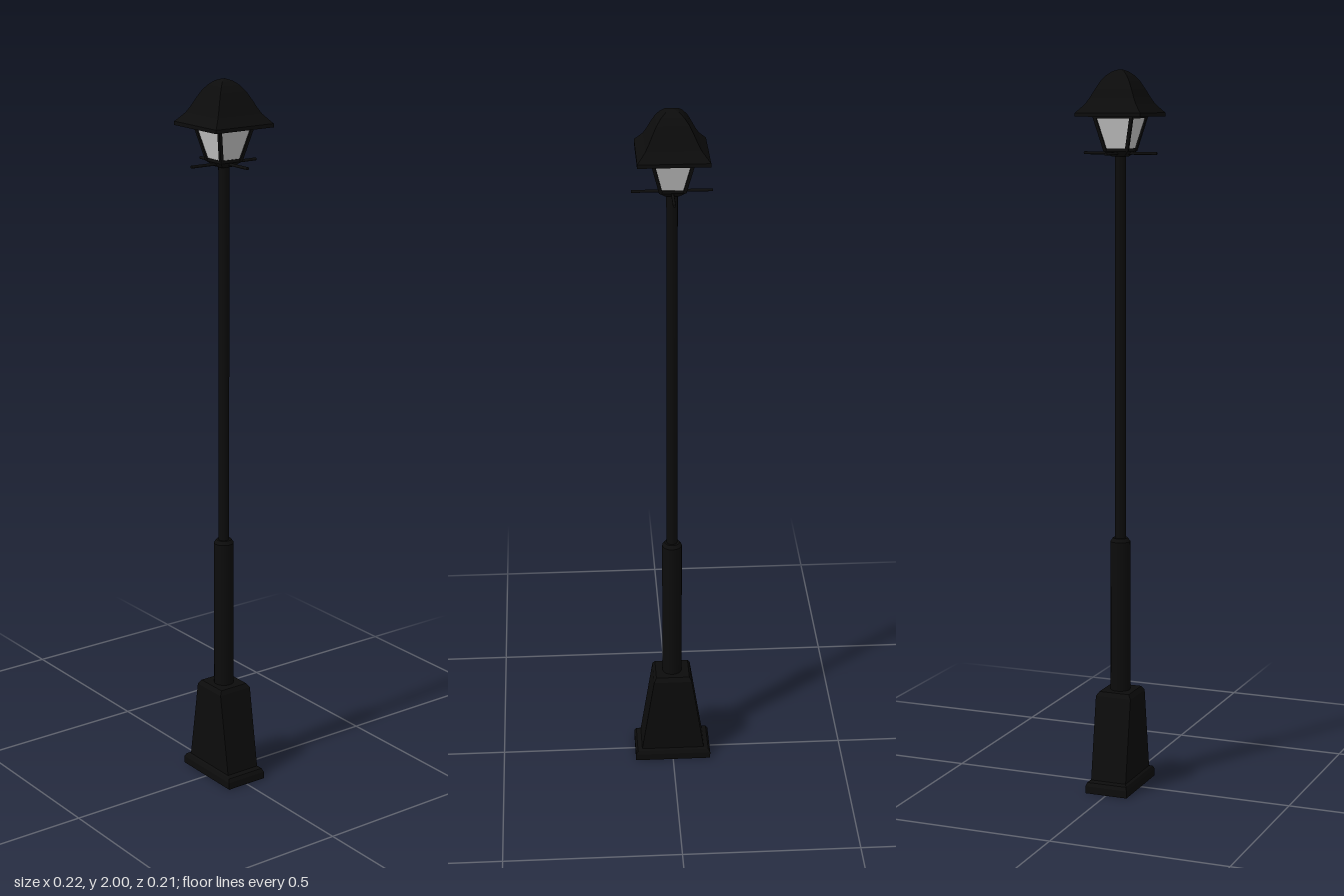
import * as THREE from 'three';

const black = new THREE.MeshStandardMaterial({ color: 0x0c0c0c });
const blackFlat = new THREE.MeshStandardMaterial({ color: 0x0c0c0c, flatShading: true });
const pane = new THREE.MeshStandardMaterial({ color: 0xcccccc, flatShading: true });

// Closed solid through rectangular sections [halfX, halfZ, y], bottom to top
function rectLoft(sections) {
  const pos = [], idx = [];
  for (const [hx, hz, y] of sections) pos.push(-hx, y, hz, hx, y, hz, hx, y, -hz, -hx, y, -hz);
  const n = sections.length;
  for (let s = 0; s < n - 1; s++) {
    for (let i = 0; i < 4; i++) {
      const a = s * 4 + i, b = s * 4 + (i + 1) % 4;
      idx.push(a, b, b + 4, a, b + 4, a + 4);
    }
  }
  const t = (n - 1) * 4;
  idx.push(0, 2, 1, 0, 3, 2, t, t + 1, t + 2, t, t + 2, t + 3);
  const g = new THREE.BufferGeometry();
  g.setAttribute('position', new THREE.Float32BufferAttribute(pos, 3));
  g.setIndex(idx);
  const flat = g.toNonIndexed();
  flat.computeVertexNormals();
  return flat;
}

export function createModel() {
  const model = new THREE.Group();
  model.name = 'streetLamp';

  const add = (name, geometry, material, parent = model) => {
    const mesh = new THREE.Mesh(geometry, material);
    mesh.name = name;
    parent.add(mesh);
    return mesh;
  };

  // Straight square bar between two points
  const bar = (name, a, b, width, parent) => {
    const dir = b.clone().sub(a);
    const mesh = add(name, new THREE.BoxGeometry(width, dir.length(), width), blackFlat, parent);
    mesh.position.copy(a).add(b).multiplyScalar(0.5);
    mesh.quaternion.setFromUnitVectors(new THREE.Vector3(0, 1, 0), dir.normalize());
    return mesh;
  };

  // Tapered pedestal with a bevelled plinth and bevelled top
  add('pedestal', rectLoft([
    [0.11, 0.062, 0], [0.11, 0.062, 0.02], [0.104, 0.058, 0.03], [0.091, 0.052, 0.034],
    [0.055, 0.052, 0.268], [0.048, 0.044, 0.28],
  ]), blackFlat);

  // Thick lower sleeve with a bevelled rim
  const sleeve = add('sleeve', new THREE.CylinderGeometry(0.028, 0.028, 0.435, 16), black);
  sleeve.position.y = 0.4875;
  const rim = add('sleeveRim', new THREE.CylinderGeometry(0.021, 0.028, 0.01, 16), black);
  rim.position.y = 0.71;

  // Slender pole
  const pole = add('pole', new THREE.CylinderGeometry(0.015, 0.015, 1.075, 16), black);
  pole.position.y = 1.2425;

  // Crossed ladder rests below the lantern
  for (const [name, axis] of [['restX', 'z'], ['restZ', 'x']]) {
    const rest = add(name, new THREE.CylinderGeometry(0.004, 0.004, 0.212, 8), black);
    rest.position.y = 1.777;
    rest.rotation[axis] = Math.PI / 2;
  }

  // Lantern: cup, tapered panes, corner posts and rails
  const lantern = new THREE.Group();
  lantern.name = 'lantern';
  model.add(lantern);
  add('cup', rectLoft([[0.018, 0.018, 1.768], [0.034, 0.034, 1.782], [0.034, 0.034, 1.79]]), blackFlat, lantern);
  add('panes', rectLoft([[0.031, 0.031, 1.786], [0.054, 0.054, 1.878]]), pane, lantern);
  const corner = (i, r, y) => new THREE.Vector3(
    r * (i % 4 === 0 || i % 4 === 3 ? 1 : -1), y, r * (i % 4 < 2 ? 1 : -1));
  for (let i = 0; i < 4; i++) {
    bar('cornerPost', corner(i, 0.031, 1.784), corner(i, 0.054, 1.878), 0.009, lantern);
    bar('topRail', corner(i, 0.053, 1.875), corner(i + 1, 0.053, 1.875), 0.009, lantern);
  }

  // Square bell-shaped roof with flared eaves
  add('roof', rectLoft([
    [0.094, 1.875], [0.094, 1.885], [0.083, 1.897], [0.072, 1.91], [0.063, 1.926],
    [0.053, 1.947], [0.042, 1.968], [0.03, 1.984], [0.017, 1.995], [0.004, 2],
  ].map(([r, y]) => [r, r, y])), blackFlat, lantern);

  return model;
}
